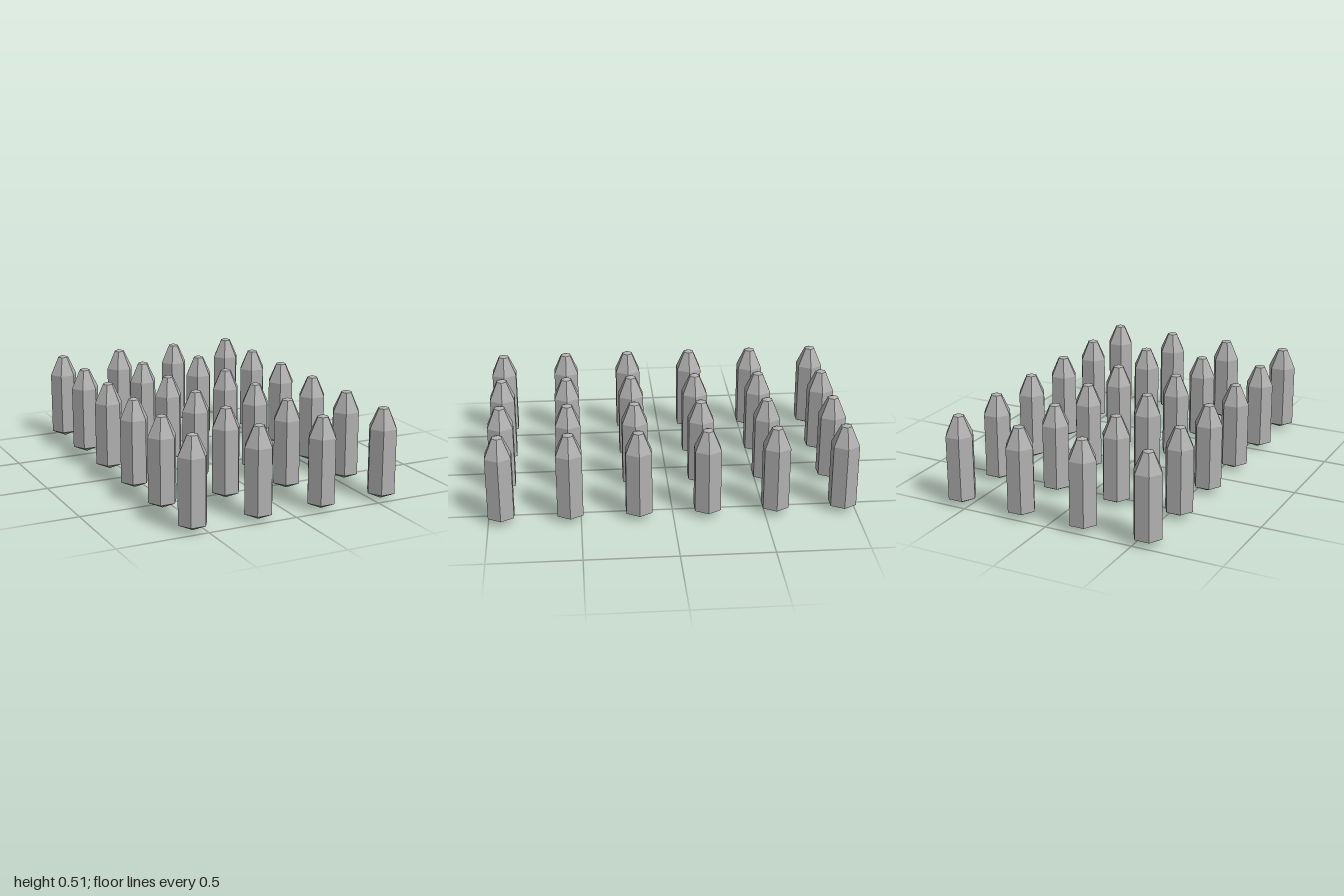
import * as THREE from 'three';

export function createModel() {
  const model = new THREE.Group();
  model.name = 'crystalGrid';
  const grey = new THREE.MeshStandardMaterial({ color: 0xb0b0b0 });
  grey.name = 'stone grey';
  grey.flatShading = true;

  // Six-sided crystal profile: bottom point, straight shaft, tapered shoulder, shallow cap
  const profile = [[0, 0.003], [0.081, 0.04], [0.081, 0.396], [0.031, 0.503], [0, 0.514]]
    .map(([r, y]) => new THREE.Vector2(r, y));
  const geometry = new THREE.LatheGeometry(profile, 6, Math.PI / 2);

  // Evenly spaced grid, 4 across and 6 deep
  const columns = 4, rows = 6, spacing = 0.372;
  for (let row = 0; row < rows; row++) {
    for (let col = 0; col < columns; col++) {
      const crystal = new THREE.Mesh(geometry, grey);
      crystal.name = `crystal_${row + 1}_${col + 1}`;
      crystal.position.set((col - (columns - 1) / 2) * spacing, 0, (row - (rows - 1) / 2) * spacing);
      model.add(crystal);
    }
  }
  return model;
}
